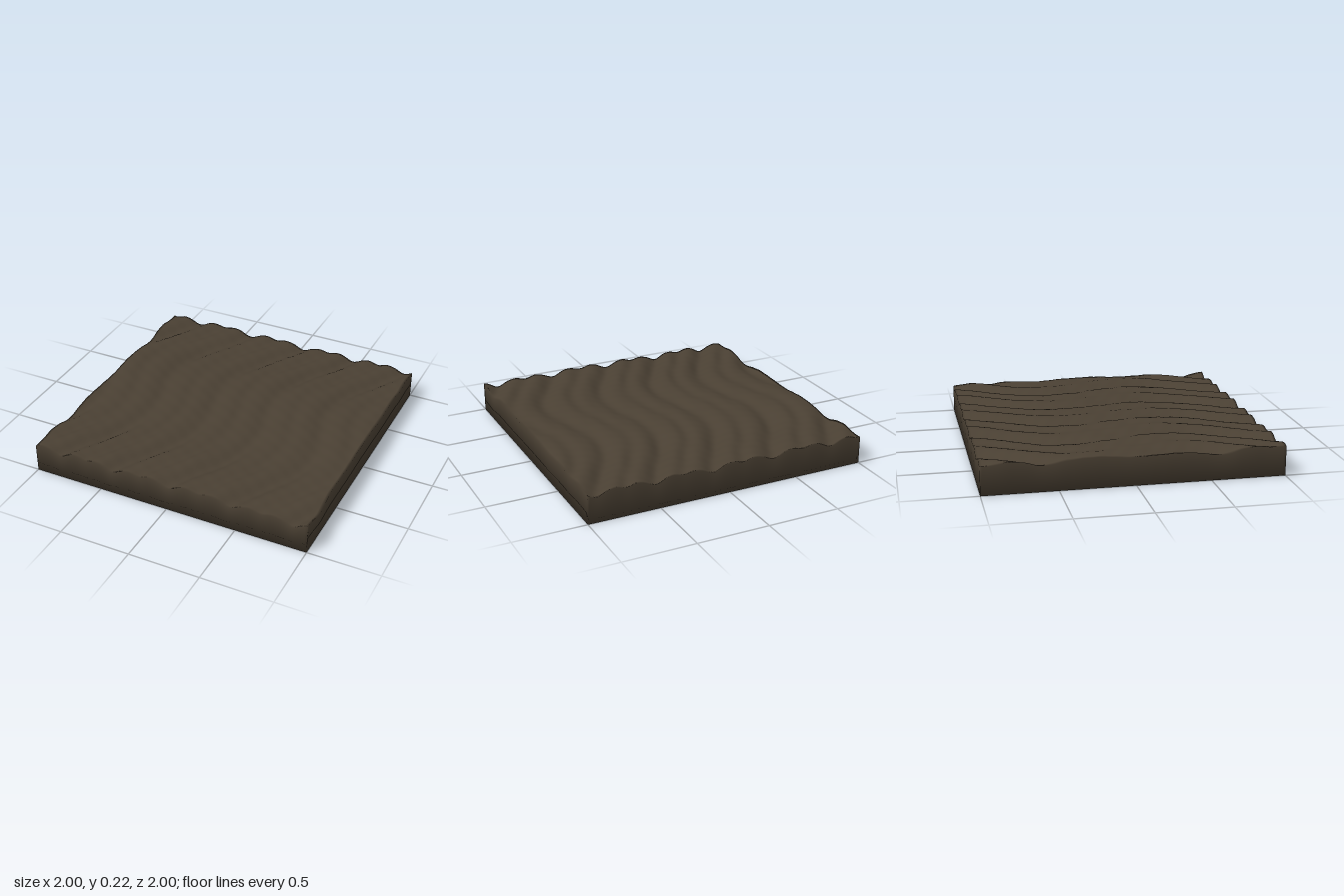
import * as THREE from 'three';

const N = 110; // cells along each side

// Small smooth unevenness from a few crossing waves
function unevenness(x, z) {
  return 0.0022 * Math.sin(17 * x + 9 * z + 1.3) * Math.sin(13 * z - 5 * x)
    + 0.0016 * Math.sin(41 * x - 23 * z) * Math.cos(31 * z + 11 * x)
    + 0.003 * Math.sin(5.1 * x + 0.7) * Math.cos(4.3 * z + 2);
}

// Rippled ground: alternating deep and shallow furrows that bend in an S along z
function groundHeight(x, z) {
  const bend = -0.16 * z + 0.107 * Math.sin(Math.PI * z / 0.75);
  const u = x - bend + 0.15 + 0.02 * Math.sin(3 * x + 2 * z);
  const furrow = (period, sharp) => Math.pow(0.5 + 0.5 * Math.cos(2 * Math.PI * u / period), sharp);
  const fade = 0.45 + 0.55 * THREE.MathUtils.smoothstep(Math.abs(z), 0.15, 0.65);
  return 0.214 - fade * (0.026 * furrow(0.425, 2) + 0.02 * furrow(0.2125, 1.5)) + unevenness(x, z);
}

function slabGeometry() {
  const positions = [];
  const index = [];
  const id = (i, j) => j * (N + 1) + i;

  // Rippled top
  for (let j = 0; j <= N; j++) {
    for (let i = 0; i <= N; i++) {
      const x = -1 + 2 * i / N, z = -1 + 2 * j / N;
      positions.push(x, groundHeight(x, z), z);
    }
  }
  for (let j = 0; j < N; j++) {
    for (let i = 0; i < N; i++) {
      const a = id(i, j), b = id(i, j + 1), c = id(i + 1, j + 1), d = id(i + 1, j);
      index.push(a, b, c, a, c, d);
    }
  }

  // Outline of the top: front, +x side, back, -x side
  const ring = [];
  for (let k = 0; k < N; k++) ring.push(id(k, N));
  for (let k = 0; k < N; k++) ring.push(id(N, N - k));
  for (let k = 0; k < N; k++) ring.push(id(N - k, 0));
  for (let k = 0; k < N; k++) ring.push(id(0, k));

  // Side walls down to the ground, and the flat underside
  const base = positions.length / 3;
  for (const v of ring) positions.push(positions[3 * v], 0, positions[3 * v + 2]);
  const centre = positions.length / 3;
  positions.push(0, 0, 0);
  ring.forEach((top0, k) => {
    const next = (k + 1) % ring.length;
    const top1 = ring[next], low0 = base + k, low1 = base + next;
    index.push(low0, low1, top1, low0, top1, top0, centre, low1, low0);
  });

  const geometry = new THREE.BufferGeometry();
  geometry.setAttribute('position', new THREE.Float32BufferAttribute(positions, 3));
  geometry.setIndex(index);
  geometry.computeVertexNormals();
  return geometry;
}

export function createModel() {
  const group = new THREE.Group();
  group.name = 'rippledGroundTile';
  const slab = new THREE.Mesh(slabGeometry(), new THREE.MeshStandardMaterial({ color: 0x4a4033 }));
  slab.name = 'groundSlab';
  group.add(slab);
  return group;
}
